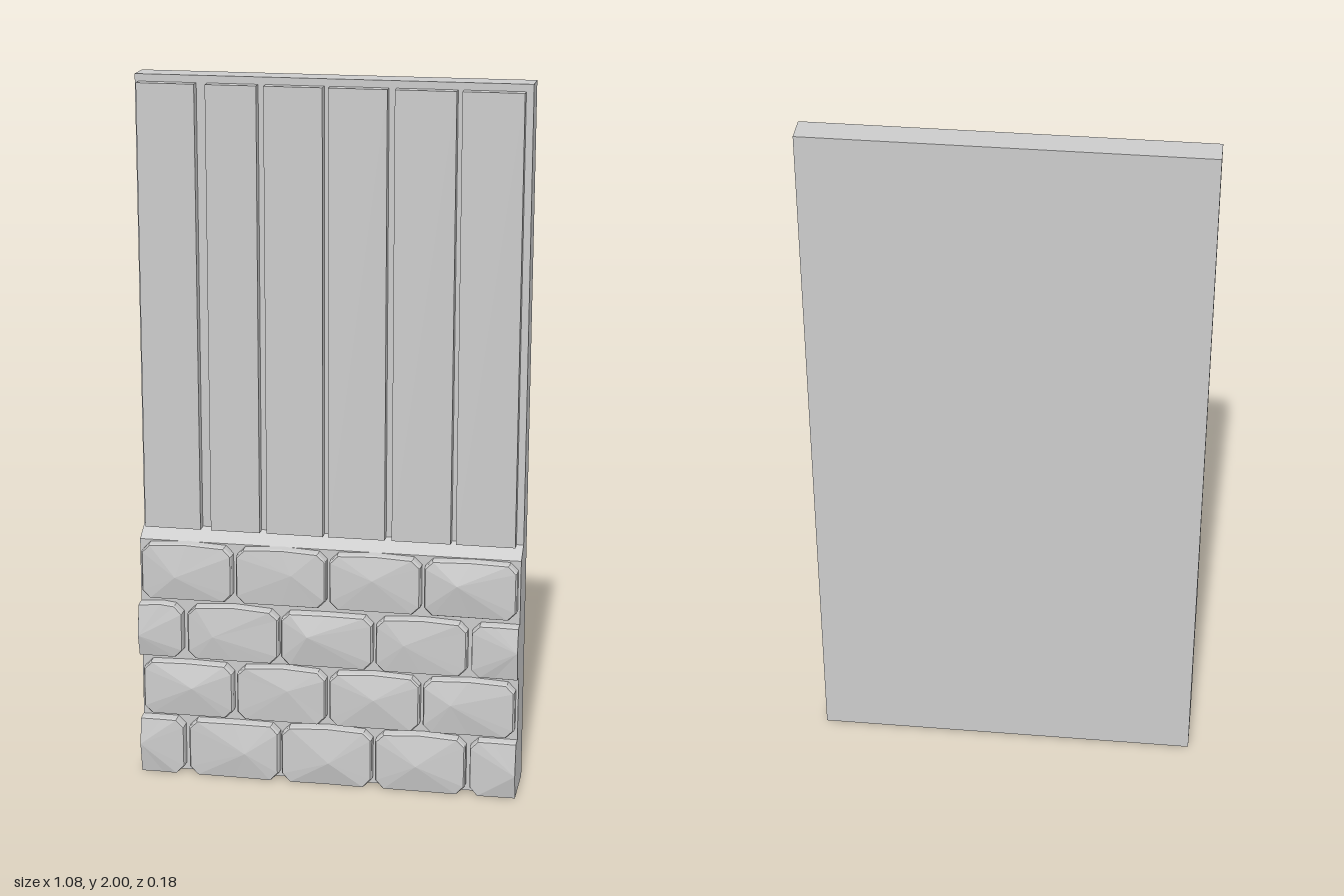
import * as THREE from 'three';

const HALF = 0.54;
const mat = new THREE.MeshStandardMaterial({ color: 0xcccccc, flatShading: true });

function add(group, geometry, name) {
  const mesh = new THREE.Mesh(geometry, mat);
  mesh.name = name;
  group.add(mesh);
  return mesh;
}

// Small seeded generator, returns -1..1
function seeded(seed) {
  let s = seed;
  return () => {
    s = (s * 16807) % 2147483647;
    return (s / 2147483647) * 2 - 1;
  };
}

// Chiselled block: chamfered outline, straight walls, faceted face rising to a peak.
// cut is -1 or 1 where the block is sliced flat by the panel's edge, otherwise 0.
function stoneGeometry(x0, x1, y0, y1, cut, rand) {
  const c = 0.022, xm = (x0 + x1) / 2, ym = (y0 + y1) / 2;
  const cl = cut < 0 ? 0 : c, cr = cut > 0 ? 0 : c;
  const outline = [
    [x0 + cl, y0], [xm, y0], [x1 - cr, y0],
    [x1, y0 + cr], [x1, y1 - cr],
    [x1 - cr, y1], [xm, y1 + 0.004 * (1 + rand())], [x0 + cl, y1],
    [x0, y1 - cl], [x0, y0 + cl],
  ];
  const peak = cut
    ? [cut * HALF, ym + 0.015 * rand(), 0.088]
    : [xm + 0.06 * rand(), ym + 0.025 * rand(), 0.086 + 0.004 * rand()];
  const ring = (z, inset) => outline.map(([x, y]) => [
    Math.abs(x) >= HALF ? x : x + (xm - x) * inset,
    y <= 0 ? y : y + (ym - y) * inset,
    z,
  ]);
  const base = ring(0.03, 0);
  const lip = ring(0.066, 0);
  const rim = ring(0.073, 0.03).map(([x, y, z]) => [x, y, z + 0.002 * rand()]);
  const pos = [];
  const n = outline.length;
  for (let i = 0; i < n; i++) {
    const j = (i + 1) % n;
    for (const [a, b] of [[base, lip], [lip, rim]]) {
      pos.push(...a[i], ...a[j], ...b[j], ...a[i], ...b[j], ...b[i]);
    }
    pos.push(...rim[i], ...rim[j], ...peak);
  }
  const g = new THREE.BufferGeometry();
  g.setAttribute('position', new THREE.Float32BufferAttribute(pos, 3));
  g.computeVertexNormals();
  return g;
}

export function createModel() {
  const model = new THREE.Group();
  model.name = 'wallPanel';

  // Wall core with a thicker plinth and sloping ledge, profile in (z, y)
  const profile = new THREE.Shape([
    [-0.09, 0], [0.04, 0], [0.04, 0.695], [-0.012, 0.725], [-0.012, 2], [-0.09, 2],
  ].map(([z, y]) => new THREE.Vector2(z, y)));
  const core = new THREE.ExtrudeGeometry(profile, { depth: 2 * HALF, bevelEnabled: false });
  core.rotateY(-Math.PI / 2).translate(HALF, 0, 0);
  add(model, core, 'wallCore');

  // Vertical planks
  const planks = new THREE.Group();
  planks.name = 'planks';
  const spans = [
    [-0.53, -0.37], [-0.34, -0.2], [-0.18, -0.02],
    [-0.005, 0.155], [0.175, 0.34], [0.355, 0.52],
  ];
  for (const [a, b] of spans) {
    const plank = add(planks, new THREE.BoxGeometry(b - a, 1.256, 0.035), 'plank');
    plank.position.set((a + b) / 2, 1.352, 0.0);
  }
  model.add(planks);

  // Stone courses: half blocks end the first and third rows
  const stones = new THREE.Group();
  stones.name = 'stones';
  const rand = seeded(4217);
  const rows = [[0, 0.165], [0.18, 0.338], [0.355, 0.51], [0.53, 0.69]];
  const edgesOdd = [[-0.54, -0.415], [-0.4, -0.138], [-0.13, 0.13], [0.14, 0.397], [0.41, 0.54]];
  const edgesEven = [[-0.53, -0.27], [-0.258, -0.002], [0.008, 0.265], [0.275, 0.533]];
  rows.forEach(([y0, y1], r) => {
    for (const [x0, x1] of r % 2 ? edgesEven : edgesOdd) {
      const cut = x0 <= -HALF ? -1 : x1 >= HALF ? 1 : 0;
      add(stones, stoneGeometry(x0, x1, y0, y1, cut, rand), 'stone');
    }
  });
  model.add(stones);

  return model;
}
